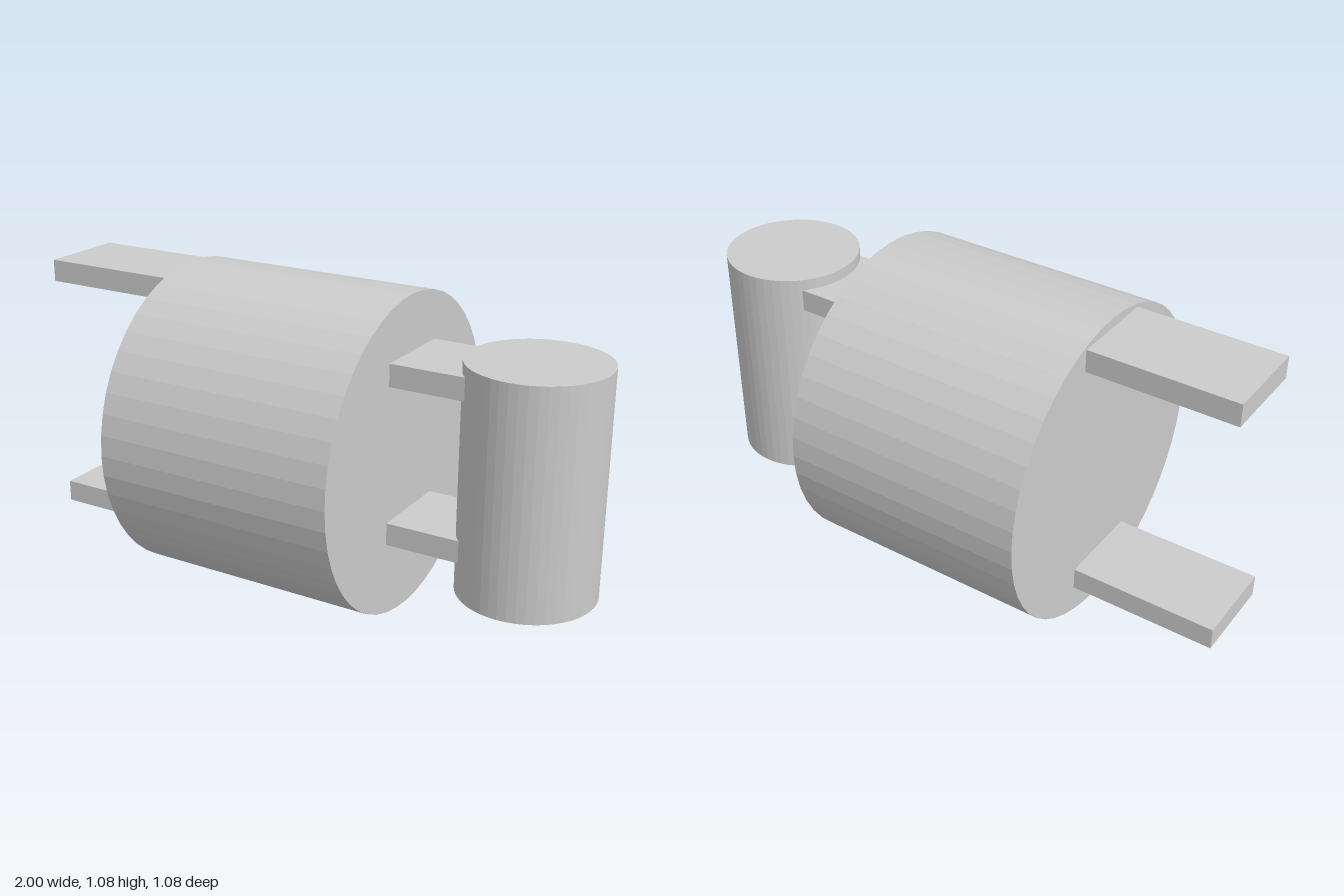
import * as THREE from 'three';

export function createModel() {
  const model = new THREE.Group();
  const material = new THREE.MeshStandardMaterial({ color: 0xcccccc, flatShading: true });

  function add(name, geometry, x, y, z = 0) {
    const mesh = new THREE.Mesh(geometry, material);
    mesh.name = name;
    mesh.position.set(x, y, z);
    model.add(mesh);
    return mesh;
  }

  // Flat bar running along x between two ends
  function bar(name, x0, x1, y) {
    add(name, new THREE.BoxGeometry(x1 - x0, 0.076, 0.305), (x0 + x1) / 2, y, -0.002);
  }

  // Main drum lying along x
  const drum = add('drum', new THREE.CylinderGeometry(0.5375, 0.5375, 0.842, 48), -0.08, 0.5375);
  drum.rotation.z = Math.PI / 2;

  // Upright cylinder beside the drum
  add('uprightCylinder', new THREE.CylinderGeometry(0.23, 0.23, 0.768, 48), 0.77, 0.541);

  // Long bars on one end, short brackets holding the upright cylinder on the other
  bar('upperArm', -1, -0.5, 1.003);
  bar('lowerArm', -1, -0.5, 0.16);
  bar('upperBracket', 0.34, 0.6, 0.849);
  bar('lowerBracket', 0.34, 0.6, 0.309);

  return model;
}
